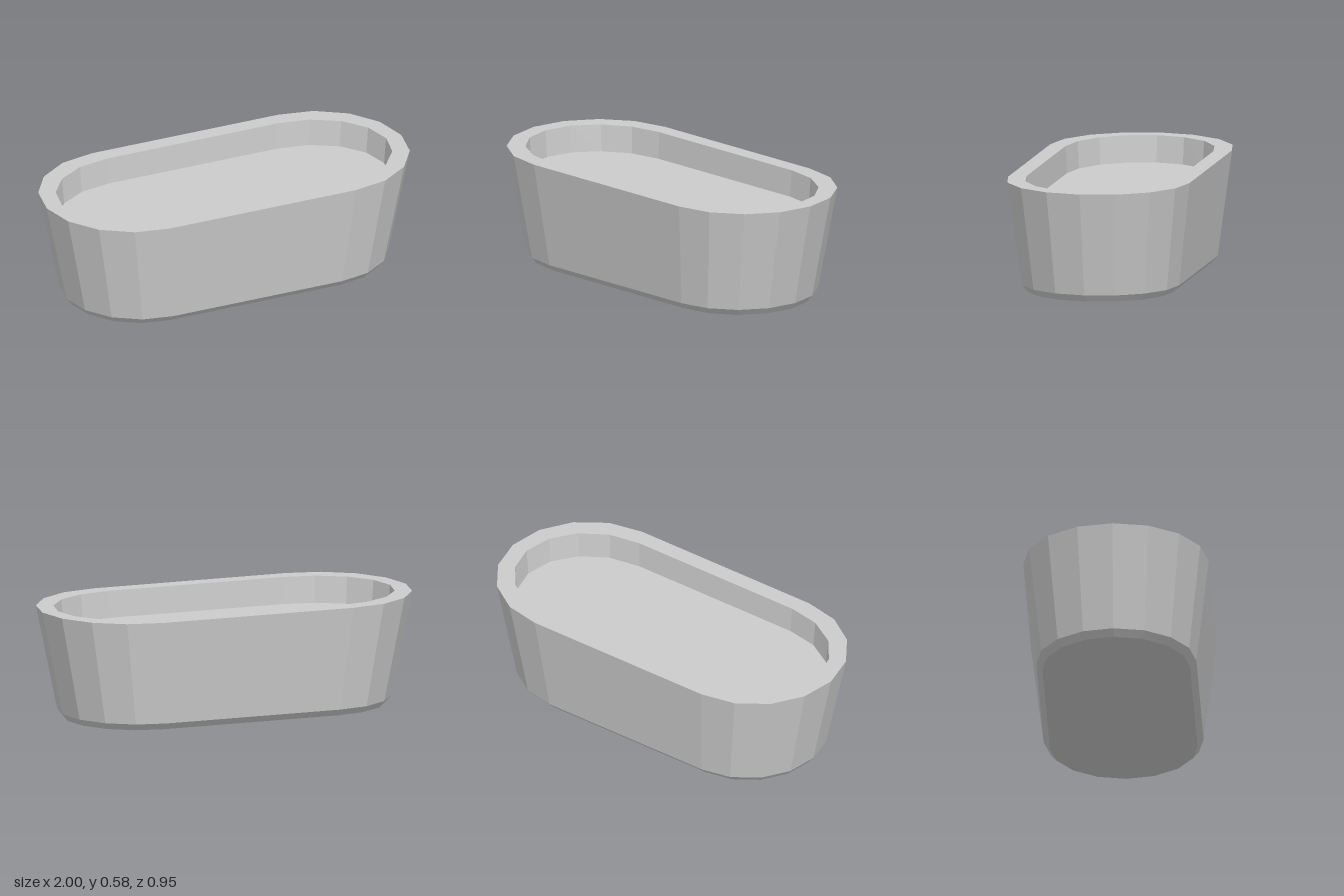
import * as THREE from 'three';

const SEGMENTS = 8; // facets per rounded end

// Stadium-shaped ring: two half ellipses whose centres sit at x = +/-c
function ring(y, c, rx, rz) {
  const points = [];
  for (const side of [1, -1]) {
    for (let i = 0; i <= SEGMENTS; i++) {
      const a = -Math.PI / 2 + (Math.PI * i) / SEGMENTS;
      points.push([side * (c + rx * Math.cos(a)), y, side * rz * Math.sin(a)]);
    }
  }
  return points;
}

// Faceted band joining two rings of equal length
function band(a, b) {
  const positions = [];
  a.forEach((p, i) => {
    const j = (i + 1) % a.length;
    positions.push(...p, ...b[i], ...b[j], ...p, ...b[j], ...a[j]);
  });
  return positions;
}

// Flat cap fanned from the centre, facing up or down
function cap(r, up) {
  const positions = [];
  r.forEach((p, i) => {
    const q = r[(i + 1) % r.length];
    positions.push(0, p[1], 0, ...(up ? q : p), ...(up ? p : q));
  });
  return positions;
}

export function createModel() {
  const group = new THREE.Group();
  group.name = 'ovalTrough';
  const material = new THREE.MeshStandardMaterial({ color: 0xcccccc, flatShading: true });

  const foot = ring(0, 0.48, 0.38, 0.378);
  const chamferTop = ring(0.036, 0.478, 0.41, 0.41);
  const outerRim = ring(0.577, 0.525, 0.475, 0.475);
  const innerRim = ring(0.577, 0.48, 0.434, 0.387);
  const floorEdge = ring(0.437, 0.475, 0.428, 0.379);

  const parts = {
    base: cap(foot, false),
    baseChamfer: band(foot, chamferTop),
    outerWall: band(chamferTop, outerRim),
    rim: band(outerRim, innerRim),
    innerWall: band(innerRim, floorEdge),
    floor: cap(floorEdge, true),
  };
  for (const [name, positions] of Object.entries(parts)) {
    const geometry = new THREE.BufferGeometry();
    geometry.setAttribute('position', new THREE.Float32BufferAttribute(positions, 3));
    geometry.computeVertexNormals();
    const mesh = new THREE.Mesh(geometry, material);
    mesh.name = name;
    group.add(mesh);
  }
  return group;
}
